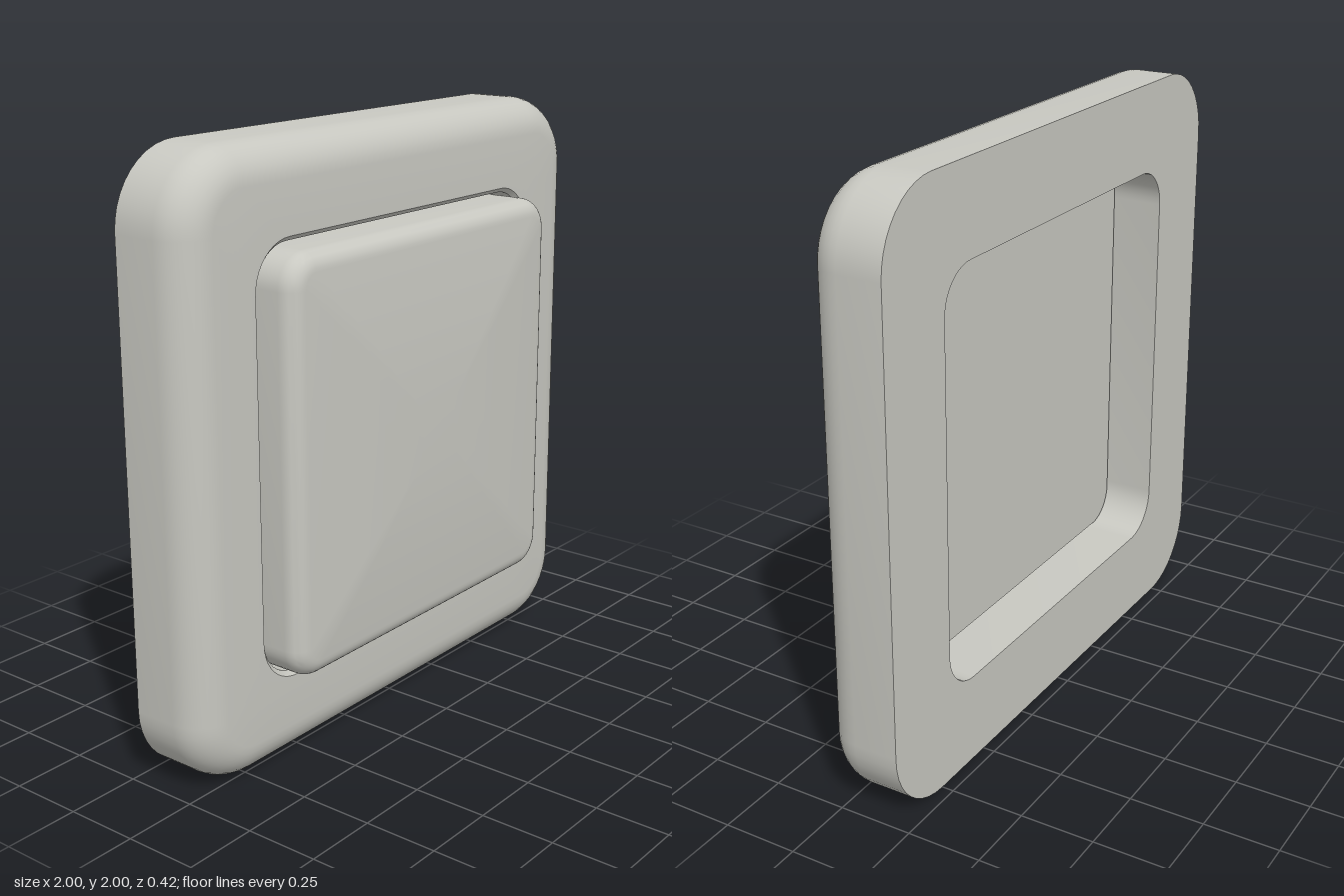
import * as THREE from 'three';
import { toCreasedNormals } from 'three/addons/utils/BufferGeometryUtils.js';

const CORNER_STEPS = 10;

// Rounded-square outline, counter-clockwise as seen from the front
function ring([half, radius, z]) {
  const points = [];
  for (let c = 0; c < 4; c++) {
    const middle = Math.PI / 4 + c * Math.PI / 2;
    const cx = Math.sign(Math.cos(middle)) * (half - radius);
    const cy = Math.sign(Math.sin(middle)) * (half - radius);
    for (let k = 0; k <= CORNER_STEPS; k++) {
      const a = (c + k / CORNER_STEPS) * Math.PI / 2;
      points.push(cx + radius * Math.cos(a), cy + radius * Math.sin(a), z);
    }
  }
  return points;
}

// Skin a series of [halfSize, cornerRadius, z] sections
function loft(sections) {
  const n = 4 * (CORNER_STEPS + 1);
  const index = [];
  for (let i = 0; i < sections.length - 1; i++) {
    for (let j = 0; j < n; j++) {
      const a = i * n + j, b = i * n + (j + 1) % n;
      if (sections[i][0] > 0) index.push(a, b, b + n);
      if (sections[i + 1][0] > 0) index.push(a, b + n, a + n);
    }
  }
  const geometry = new THREE.BufferGeometry();
  geometry.setAttribute('position', new THREE.Float32BufferAttribute(sections.flatMap(ring), 3));
  geometry.setIndex(index);
  return toCreasedNormals(geometry, 0.6);
}

// Sections of a quarter-round front edge
function roundedEdge(half, corner, z, radius, steps = 8) {
  return Array.from({ length: steps + 1 }, (_, i) => {
    const a = i / steps * Math.PI / 2;
    const inset = radius * (1 - Math.cos(a));
    return [half - inset, corner - inset, z - radius + radius * Math.sin(a)];
  });
}

export function createModel() {
  const group = new THREE.Group();
  const plastic = new THREE.MeshStandardMaterial({ color: 0xc8c8c1 });
  plastic.name = 'warm grey plastic';

  const add = (name, sections) => {
    const mesh = new THREE.Mesh(loft(sections), plastic);
    mesh.name = name;
    mesh.position.y = 1;
    group.add(mesh);
  };

  // Surround with a rounded rim and a through opening, chamfered in front
  const back = [1, 0.25, -0.21];
  add('frame', [
    back,
    ...roundedEdge(1, 0.25, 0.06, 0.12),
    [0.71, 0.155, 0.06],
    [0.695, 0.14, 0.045],
    [0.695, 0.14, -0.21],
    back,
  ]);

  // Rocker plate: flat back, rounded edge and a shallow domed face
  const edgeHalf = 0.62, edgeZ = 0.177, topZ = 0.207;
  const dome = [];
  for (let i = 7; i >= 0; i--) {
    const t = i / 8;
    dome.push([edgeHalf * t, 0.05 * t, topZ - (topZ - edgeZ) * t * t]);
  }
  add('rocker', [
    [0, 0, -0.04],
    [0.68, 0.11, -0.04],
    ...roundedEdge(0.68, 0.11, edgeZ, 0.06),
    ...dome,
  ]);

  return group;
}
